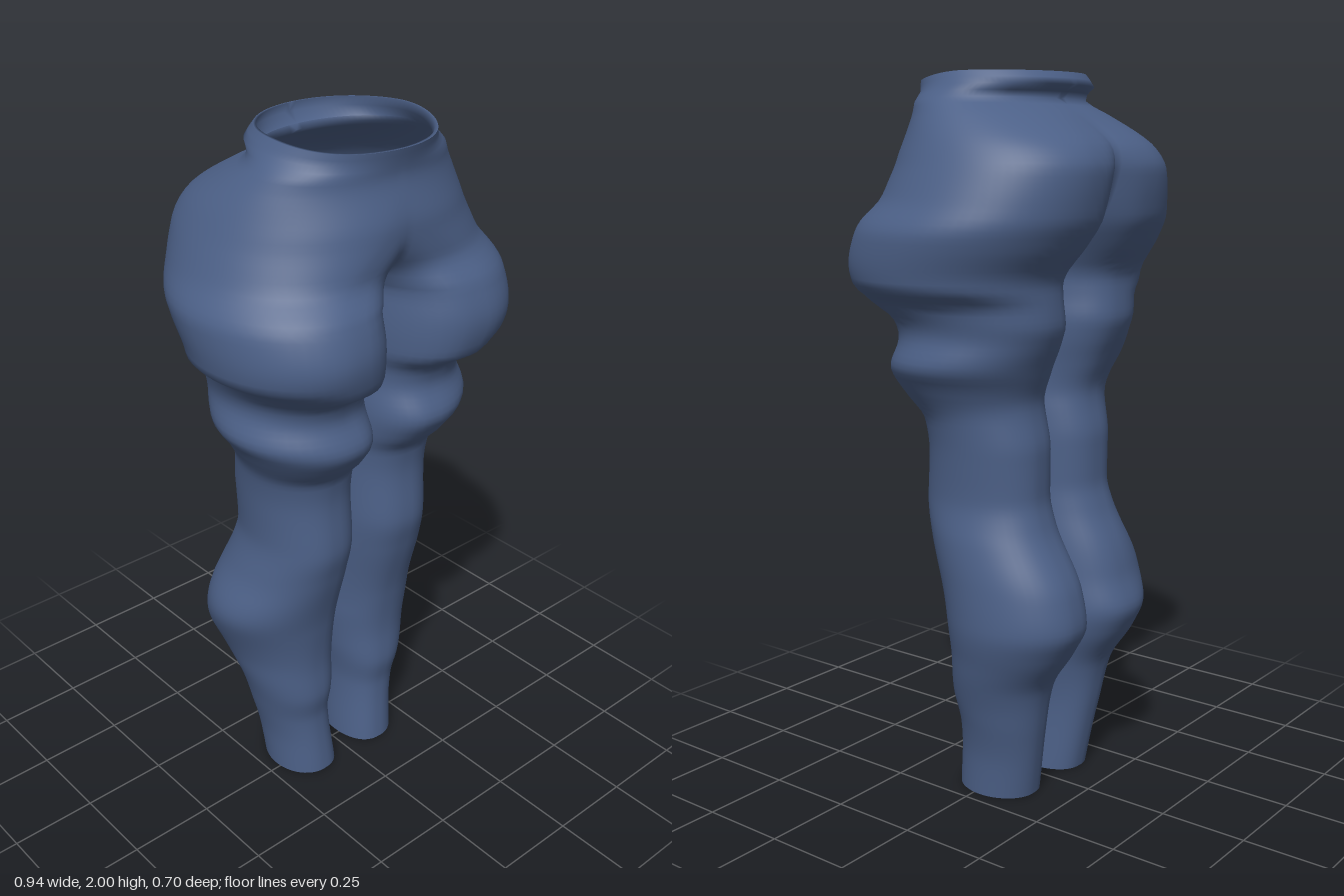
import * as THREE from 'three';
import { mergeVertices } from 'three/addons/utils/BufferGeometryUtils.js';

// Smooth monotone curve through [height, value] pairs
function profile(keys) {
  const d = keys.slice(1).map((k, i) => (k[1] - keys[i][1]) / (k[0] - keys[i][0]));
  const m = keys.map((k, i) => {
    if (i === 0) return d[0];
    if (i === keys.length - 1) return d[i - 1];
    return d[i - 1] * d[i] <= 0 ? 0 : (2 * d[i - 1] * d[i]) / (d[i - 1] + d[i]);
  });
  return (y) => {
    let i = 0;
    while (i < keys.length - 2 && y > keys[i + 1][0]) i++;
    const h = keys[i + 1][0] - keys[i][0];
    const t = THREE.MathUtils.clamp((y - keys[i][0]) / h, 0, 1);
    const t2 = t * t, t3 = t2 * t;
    return keys[i][1] * (2 * t3 - 3 * t2 + 1) + h * m[i] * (t3 - 2 * t2 + t)
      + keys[i + 1][1] * (3 * t2 - 2 * t3) + h * m[i + 1] * (t3 - t2);
  };
}

// Outer side, front and back outlines
const outer = profile([[0, 0.215], [0.1, 0.22], [0.25, 0.25], [0.4, 0.29], [0.53, 0.315], [0.65, 0.31],
  [0.75, 0.3], [0.87, 0.28], [0.97, 0.285], [1.09, 0.3], [1.18, 0.345], [1.24, 0.38], [1.32, 0.36],
  [1.4, 0.39], [1.45, 0.455], [1.58, 0.47], [1.67, 0.43], [1.75, 0.395], [1.83, 0.355], [1.93, 0.285],
  [1.96, 0.26], [2, 0.235]]);
const front = profile([[0, 0.1], [0.2, 0.085], [0.3, 0.1], [0.4, 0.095], [0.55, 0.11], [0.75, 0.16],
  [0.85, 0.18], [1, 0.17], [1.08, 0.18], [1.14, 0.23], [1.21, 0.27], [1.3, 0.24], [1.35, 0.255],
  [1.41, 0.335], [1.5, 0.355], [1.6, 0.33], [1.68, 0.28], [1.78, 0.28], [1.92, 0.255], [1.96, 0.26], [2, 0.27]]);
const back = profile([[0, -0.14], [0.2, -0.175], [0.33, -0.2], [0.45, -0.275], [0.53, -0.312], [0.62, -0.295],
  [0.8, -0.2], [0.88, -0.18], [1, -0.18], [1.13, -0.16], [1.22, -0.19], [1.3, -0.225], [1.35, -0.24],
  [1.45, -0.235], [1.56, -0.3], [1.63, -0.335], [1.75, -0.35], [1.8, -0.33], [1.89, -0.21], [1.94, -0.135],
  [1.965, -0.185], [2, -0.165]]);
// Inner side: positive values are separate legs, negative values join at the centre
const inLow = [[0, 0.028], [0.2, 0.04], [0.35, 0.022], [0.5, 0.004], [1.45, 0.004]];
const innerFront = profile([...inLow, [1.57, 0.004], [1.63, -0.03], [1.7, -0.12], [1.78, -0.2], [2, -0.23]]);
const innerBack = profile([...inLow, [1.52, -0.01], [1.6, -0.04], [1.75, -0.09], [1.85, -0.16], [2, -0.2]]);
// Sideways position of the fullest point, front and back
const fullFront = profile([[0, 0.12], [0.5, 0.15], [1.1, 0.15], [1.35, 0.18], [1.5, 0.23], [1.62, 0.21],
  [1.7, 0.13], [1.78, 0.05], [1.88, 0], [2, 0]]);
const fullBack = profile([[0, 0.12], [0.5, 0.16], [1.1, 0.15], [1.45, 0.17], [1.6, 0.14], [1.75, 0.13],
  [1.85, 0.09], [1.94, 0], [2, 0]]);

const POWER = 0.75; // flattens the inner thighs
const COLS = 48;

// One half cross-section, running from front centre round the outside to back centre
function section(y, side, inset = 0) {
  const bulge = side < 0 ? Math.exp(-(((y - 0.61) / 0.1) ** 2)) : 0;
  const xo = outer(y) + 0.045 * bulge - inset;
  const zf = front(y) - inset, zb = back(y) + 0.03 * bulge + inset;
  const zm = (zf + zb) / 2, rz = (zf - zb) / 2;
  const limit = (c, xi) => xi >= 0 ? Math.PI
    : Math.PI / 2 + Math.asin(Math.pow(c / (c - xi), 1 / POWER));
  const halves = [[fullFront(y), innerFront(y)], [fullBack(y), innerBack(y)]];
  const points = [];
  for (let j = 0; j <= COLS; j++) {
    const t = (2 * j) / COLS - 1;
    const [c, xi] = halves[t < 0 ? 0 : 1];
    const a = -t * limit(c, xi);
    const cos = Math.cos(a);
    let x = cos >= 0 ? c + (xo - c) * cos : c - (c - xi) * Math.pow(-cos, POWER);
    x = Math.max(x, 0);
    const z = zm + rz * Math.sin(a);
    // the waistline dips slightly in front
    const dip = 0.02 * THREE.MathUtils.smoothstep(y, 1.85, 2) * THREE.MathUtils.smoothstep(z, 0, 0.25);
    points.push([side * x, y - dip, z]);
  }
  return points;
}

// Skins both mirrored halves and welds them along the centre
function shell(levels) {
  const positions = [], index = [];
  for (const side of [1, -1]) {
    const base = positions.length / 3;
    for (const [y, inset] of levels) for (const p of section(y, side, inset)) positions.push(...p);
    for (let i = 0; i < levels.length - 1; i++) {
      for (let j = 0; j < COLS; j++) {
        const a = base + i * (COLS + 1) + j, b = a + 1, c = a + COLS + 1, d = c + 1;
        if (side > 0) index.push(a, b, c, b, d, c);
        else index.push(a, c, b, b, c, d);
      }
    }
  }
  const geometry = new THREE.BufferGeometry();
  geometry.setAttribute('position', new THREE.Float32BufferAttribute(positions, 3));
  geometry.setIndex(index);
  const welded = mergeVertices(geometry, 1e-4);
  welded.computeVertexNormals();
  return welded;
}

export function createModel() {
  const model = new THREE.Group();
  model.name = 'trousers';
  const denim = new THREE.MeshStandardMaterial({ color: 0x4c6087, side: THREE.DoubleSide });
  denim.name = 'denim blue';

  // Hips and both legs, open at the waist and ankles
  const levels = Array.from({ length: 121 }, (_, i) => [(i / 120) * 2, 0]);
  const cloth = new THREE.Mesh(shell(levels), denim);
  cloth.name = 'hipsAndLegs';
  model.add(cloth);

  // Folded lining inside the waist
  const lining = new THREE.Mesh(shell([[1.95, 0.016], [1.975, 0.016], [2, 0.008], [2, 0]]), denim);
  lining.name = 'waistLining';
  model.add(lining);
  return model;
}
